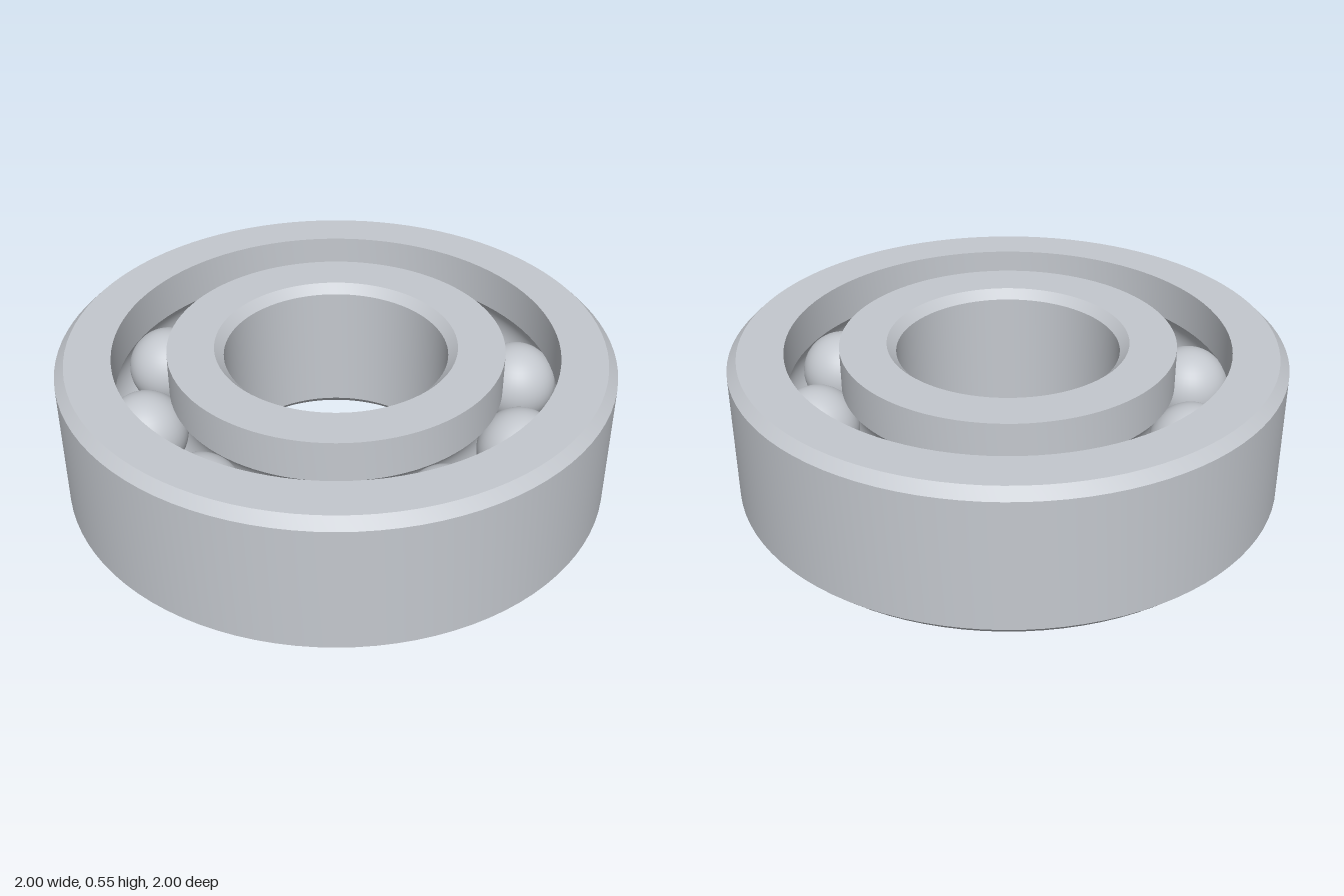
import * as THREE from 'three';
import { toCreasedNormals } from 'three/addons/utils/BufferGeometryUtils.js';

const HEIGHT = 0.55, MID = HEIGHT / 2;
const PITCH = 0.7, BALL = 0.15, GROOVE = 0.153;
const CHAMFER = 0.035;

// Points of the ball groove, an arc about the pitch circle between two angles
function grooveArc(from, to, steps = 16) {
  return Array.from({ length: steps + 1 }, (_, i) => {
    const a = from + (to - from) * i / steps;
    return [PITCH + GROOVE * Math.cos(a), MID + GROOVE * Math.sin(a)];
  });
}

// Closed profile, counterclockwise in (radius, height), turned around y
function turnedRing(name, profile, material) {
  const points = [...profile, profile[0]].map(([r, y]) => new THREE.Vector2(r, y));
  const geometry = toCreasedNormals(new THREE.LatheGeometry(points, 96), 0.4);
  const mesh = new THREE.Mesh(geometry, material);
  mesh.name = name;
  return mesh;
}

export function createModel() {
  const steel = new THREE.MeshStandardMaterial({ color: 0xc4c8ce });
  steel.name = 'steel';
  const group = new THREE.Group();
  group.name = 'ballBearing';

  // Outer ring: chamfered outside, groove in its inner wall
  const outerWall = 0.8;
  const spreadOut = Math.acos((outerWall - PITCH) / GROOVE);
  group.add(turnedRing('outerRing', [
    [outerWall, 0], [1 - CHAMFER, 0], [1, CHAMFER],
    [1, HEIGHT - CHAMFER], [1 - CHAMFER, HEIGHT], [outerWall, HEIGHT],
    ...grooveArc(spreadOut, -spreadOut),
  ], steel));

  // Inner ring: chamfered bore, groove in its outer wall
  const innerWall = 0.605, bore = 0.403, boreChamfer = 0.033;
  const spreadIn = Math.acos((PITCH - innerWall) / GROOVE);
  group.add(turnedRing('innerRing', [
    [bore + boreChamfer, 0], [innerWall, 0],
    ...grooveArc(Math.PI + spreadIn, Math.PI - spreadIn),
    [innerWall, HEIGHT], [bore + boreChamfer, HEIGHT],
    [bore, HEIGHT - boreChamfer], [bore, boreChamfer],
  ], steel));

  // Ten balls on the pitch circle
  const balls = new THREE.Group();
  balls.name = 'balls';
  const ballGeometry = new THREE.SphereGeometry(BALL, 40, 24);
  for (let i = 0; i < 10; i++) {
    const a = i / 10 * Math.PI * 2;
    const ball = new THREE.Mesh(ballGeometry, steel);
    ball.name = 'ball' + (i + 1);
    ball.position.set(PITCH * Math.cos(a), MID, PITCH * Math.sin(a));
    balls.add(ball);
  }
  group.add(balls);
  return group;
}
